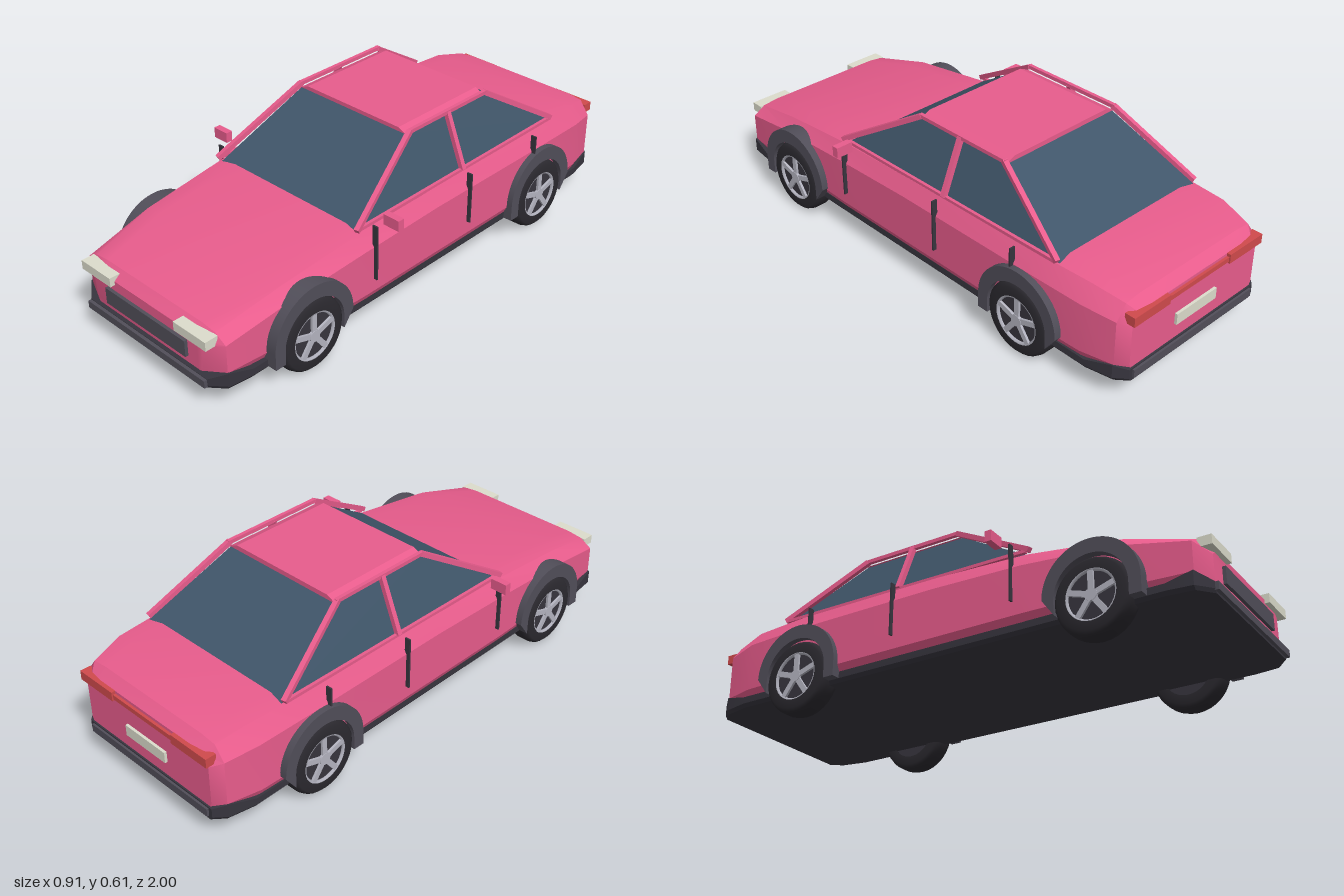
import * as THREE from 'three';
import { toCreasedNormals } from 'three/addons/utils/BufferGeometryUtils.js';
import { ConvexGeometry } from 'three/addons/geometries/ConvexGeometry.js';

const mat = (color) => new THREE.MeshStandardMaterial({ color });
const paint = mat(0xe85c8c), glass = mat(0x40566a), trim = mat(0x37353e), archMat = mat(0x514e59);
const rubber = mat(0x2b292f), alloy = mat(0xb4b4c0), lamp = mat(0xdcdccc), red = mat(0xd04a4c);

function mesh(name, geometry, material, parent) {
  const m = new THREE.Mesh(geometry, material);
  m.name = name;
  parent.add(m);
  return m;
}

function box(name, size, pos, material, parent) {
  const m = mesh(name, new THREE.BoxGeometry(...size), material, parent);
  m.position.set(...pos);
  return m;
}

// Square bar between two points
function bar(name, a, b, thick, material, parent) {
  const p = new THREE.Vector3(...a), q = new THREE.Vector3(...b);
  const m = mesh(name, new THREE.BoxGeometry(thick, thick, p.distanceTo(q)), material, parent);
  m.position.copy(p).lerp(q, 0.5);
  m.lookAt(q);
  return m;
}

// Skin over mirrored cross-sections, ordered front to back.
// Each section is { z, half: [[x, y], ...] } from bottom to top on the +x side.
function loft(sections) {
  const verts = [], index = [];
  for (const { z, half } of sections) {
    const ring = [...half, ...half.slice().reverse().map(([x, y]) => [-x, y])];
    for (const [x, y] of ring) verts.push(x, y, z);
  }
  const n = sections[0].half.length * 2, last = (sections.length - 1) * n;
  for (let i = 0; i < sections.length - 1; i++) {
    for (let j = 0; j < n; j++) {
      const a = i * n + j, b = i * n + (j + 1) % n, c = b + n, d = a + n;
      index.push(a, d, b, d, c, b);
    }
  }
  for (let k = 1; k < n - 1; k++) index.push(0, k, k + 1, last, last + k + 1, last + k);
  const g = new THREE.BufferGeometry();
  g.setAttribute('position', new THREE.Float32BufferAttribute(verts, 3));
  g.setIndex(index);
  return toCreasedNormals(g, 0.45);
}

// Tyre and five-spoke rim, outer face towards +x
function makeWheel() {
  const wheel = new THREE.Group();
  wheel.name = 'wheel';
  const profile = [[0.09, -0.045], [0.122, -0.045], [0.133, -0.035], [0.138, -0.018],
    [0.138, 0.018], [0.133, 0.035], [0.122, 0.045], [0.09, 0.045]];
  const tyre = new THREE.LatheGeometry(profile.map(([r, h]) => new THREE.Vector2(r, h)), 32);
  mesh('tyre', tyre.rotateZ(-Math.PI / 2), rubber, wheel);
  const disc = new THREE.CylinderGeometry(0.092, 0.092, 0.07, 32).rotateZ(Math.PI / 2);
  mesh('rimBack', disc, trim, wheel);
  const ring = new THREE.TorusGeometry(0.09, 0.008, 6, 32).rotateY(Math.PI / 2);
  mesh('rimRing', ring, alloy, wheel).position.x = 0.038;
  const hub = new THREE.CylinderGeometry(0.022, 0.022, 0.016, 16).rotateZ(Math.PI / 2);
  mesh('hub', hub, alloy, wheel).position.x = 0.038;
  for (let i = 0; i < 5; i++) {
    const spoke = new THREE.BoxGeometry(0.012, 0.085, 0.02).translate(0.038, 0.045, 0);
    mesh('spoke', spoke.rotateX(i * Math.PI * 2 / 5), alloy, wheel);
  }
  return wheel;
}

// Flared arch: half ring with short legs
function archGeometry() {
  const s = new THREE.Shape();
  s.moveTo(0.175, 0.1);
  s.absarc(0, 0.16, 0.175, 0, Math.PI, false);
  s.lineTo(-0.175, 0.1);
  s.lineTo(-0.132, 0.1);
  s.lineTo(-0.132, 0.15);
  s.absarc(0, 0.15, 0.132, Math.PI, 0, true);
  s.lineTo(0.132, 0.1);
  s.closePath();
  const g = new THREE.ExtrudeGeometry(s, { depth: 0.09, bevelEnabled: false, curveSegments: 20 });
  return toCreasedNormals(g.rotateY(Math.PI / 2), 0.5);
}

export function createModel() {
  const car = new THREE.Group();
  car.name = 'car';

  // Painted body: z, half width, shoulder height, top half width, top height
  const stations = [
    [0.975, 0.27, 0.235, 0.25, 0.26], [0.94, 0.348, 0.255, 0.3, 0.29], [0.7, 0.37, 0.3, 0.33, 0.348],
    [0.35, 0.38, 0.325, 0.345, 0.388], [0, 0.38, 0.335, 0.348, 0.4], [-0.6, 0.38, 0.335, 0.345, 0.405],
    [-0.83, 0.373, 0.33, 0.33, 0.4], [-0.95, 0.345, 0.315, 0.305, 0.375], [-0.985, 0.31, 0.3, 0.28, 0.345]];
  mesh('body', loft(stations.map(([z, w, ys, wt, yt]) => ({
    z, half: [[w - 0.02, 0.11], [w, 0.15], [w, ys], [wt, yt - 0.007], [wt * 0.8, yt]],
  }))), paint, car);

  // Dark lower cladding and floor: z, half width, top height
  const skirt = [[0.985, 0.3, 0.125], [0.94, 0.355, 0.152], [0.85, 0.366, 0.125],
    [-0.85, 0.37, 0.125], [-0.95, 0.35, 0.15], [-0.99, 0.315, 0.135]];
  mesh('lowerCladding', loft(skirt.map(([z, w, top]) => ({
    z, half: [[w - 0.01, 0.087], [w, 0.1], [w, top]],
  }))), trim, car);
  box('frontBumper', [0.6, 0.028, 0.05], [0, 0.109, 0.972], archMat, car);
  box('rearBumper', [0.6, 0.03, 0.05], [0, 0.115, -0.973], archMat, car);

  // Greenhouse and roof
  const cabin = [], roof = [];
  for (const s of [-1, 1]) {
    cabin.push(new THREE.Vector3(s * 0.338, 0.375, 0.365), new THREE.Vector3(s * 0.335, 0.39, -0.71),
      new THREE.Vector3(s * 0.253, 0.588, 0.03), new THREE.Vector3(s * 0.253, 0.588, -0.38));
    for (const z of [0.03, -0.385]) {
      roof.push(new THREE.Vector3(s * 0.26, 0.585, z), new THREE.Vector3(s * 0.22, 0.603, z),
        new THREE.Vector3(s * 0.24, 0.578, z));
    }
  }
  mesh('windows', new ConvexGeometry(cabin), glass, car);
  mesh('roof', new ConvexGeometry(roof), paint, car);

  // Front and rear face details
  box('grille', [0.405, 0.062, 0.03], [0, 0.19, 0.972], archMat, car);
  box('numberPlate', [0.2, 0.042, 0.02], [0, 0.217, -0.985], lamp, car);
  box('tailStrip', [0.32, 0.018, 0.03], [0, 0.325, -0.98], red, car);

  for (const s of [-1, 1]) {
    box('headlight', [0.153, 0.034, 0.05], [s * 0.238, 0.263, 0.968], lamp, car);
    box('tailLight', [0.17, 0.035, 0.04], [s * 0.235, 0.328, -0.98], red, car);

    // Pillars and roof rail
    const top = (z) => [s * 0.263, 0.6, z];
    bar('frontPillar', [s * 0.345, 0.395, 0.365], top(0.02), 0.018, paint, car);
    bar('rearPillar', [s * 0.34, 0.405, -0.695], top(-0.38), 0.018, paint, car);
    bar('middlePillar', [s * 0.345, 0.4, -0.175], top(-0.175), 0.018, paint, car);
    bar('roofRail', top(0.025), top(-0.39), 0.014, paint, car);
    bar('windowSill', [s * 0.342, 0.395, 0.35], [s * 0.34, 0.403, -0.69], 0.012, paint, car);

    // Door seams and mirror
    for (const [z, low, high] of [[0.315, 0.2, 0.41], [-0.17, 0.2, 0.4], [-0.54, 0.3, 0.4]]) {
      box('doorSeam', [0.022, high - low, 0.006], [s * 0.383, (low + high) / 2, z], trim, car);
    }
    box('mirror', [0.066, 0.04, 0.026], [s * 0.422, 0.425, 0.27], paint, car);

    // Wheels and arches
    for (const z of [0.615, -0.58]) {
      const wheel = makeWheel();
      wheel.position.set(s * 0.356, 0.138, z);
      if (s < 0) wheel.rotation.y = Math.PI;
      car.add(wheel);
      const arch = mesh('wheelArch', archGeometry(), archMat, car);
      arch.position.set(s > 0 ? 0.313 : -0.403, 0, z);
    }
  }
  return car;
}
